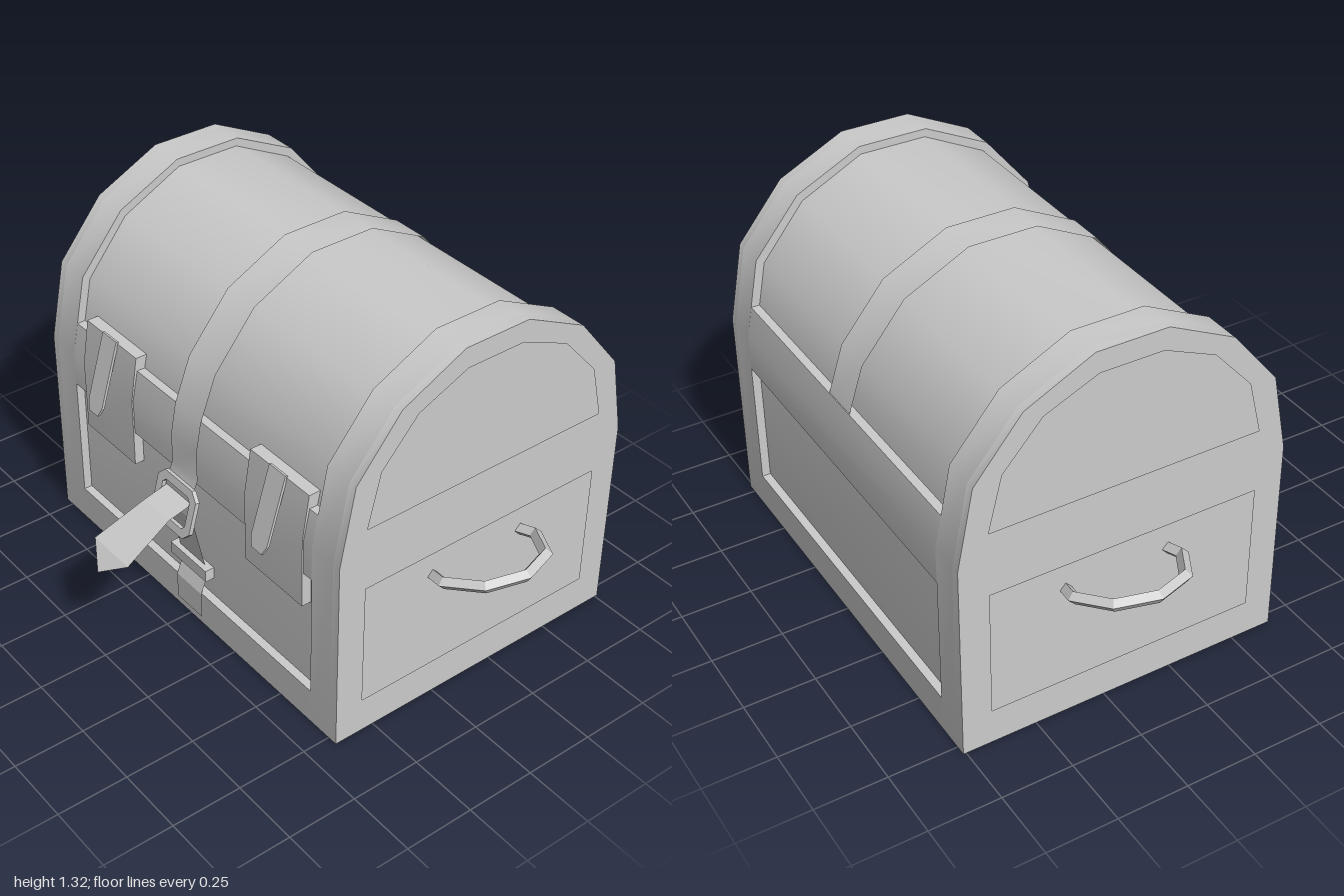
import * as THREE from 'three';
import { toCreasedNormals } from 'three/addons/utils/BufferGeometryUtils.js';

const grey = new THREE.MeshStandardMaterial({ color: 0xcccccc });
const flat = new THREE.MeshStandardMaterial({ color: 0xcccccc, flatShading: true });
const thin = new THREE.MeshStandardMaterial({ color: 0xcccccc, side: THREE.DoubleSide });
const thinFlat = new THREE.MeshStandardMaterial({ color: 0xcccccc, side: THREE.DoubleSide, flatShading: true });

const MID_Z = -0.18; // centre plane of the chest, front to back

// Profiles are [z, y]; the front half is mirrored to the back.
const mirrorProfile = (half) => [
  ...half,
  ...half.slice().reverse().map(([z, y]) => [2 * MID_Z - z, y]),
];
const toPoints = (profile) => profile.map(([z, y]) => new THREE.Vector2(-z, y));

export function createModel() {
  const chest = new THREE.Group();
  chest.name = 'chest';

  const add = (name, geometry, material = grey) => {
    const mesh = new THREE.Mesh(geometry, material);
    mesh.name = name;
    chest.add(mesh);
    return mesh;
  };

  // Extrudes a [z, y] profile along x from x0 to x1.
  const extrudeX = (name, profile, x0, x1, holes = []) => {
    const shape = new THREE.Shape(toPoints(profile));
    holes.forEach((h) => shape.holes.push(new THREE.Path(toPoints(h))));
    const geo = new THREE.ExtrudeGeometry(shape, { depth: x1 - x0, bevelEnabled: false });
    geo.rotateY(Math.PI / 2).translate(x0, 0, 0);
    return add(name, toCreasedNormals(geo, 0.6));
  };

  // Thin band along a [z, y, halfWidth] path.
  const ribbon = (name, path, material) => {
    const geo = new THREE.PlaneGeometry(1, 1, 1, path.length - 1);
    const pos = geo.attributes.position;
    path.forEach(([z, y, w = 0.07], i) => {
      pos.setXYZ(2 * i, -w, y, z);
      pos.setXYZ(2 * i + 1, w, y, z);
    });
    geo.computeVertexNormals();
    return add(name, geo, material);
  };

  const outer = mirrorProfile([[0.4, 0], [0.4, 0.72], [0.345, 1.0], [0.18, 1.2], [-0.055, 1.315]]);
  const inner = mirrorProfile([[0.37, 0.02], [0.37, 0.72], [0.317, 0.985], [0.163, 1.174], [-0.06, 1.286]]);
  const sidePanel = mirrorProfile([[0.297, 0.13], [0.297, 0.59]]);
  const lidPanel = mirrorProfile([[0.297, 0.82], [0.25, 1.01], [0.115, 1.16], [-0.07, 1.24]]);

  // Recessed core with the rails that frame it front and back
  extrudeX('recessedPanels', inner, -0.655, 0.655);
  extrudeX('bottomRail', mirrorProfile([[0.4, 0], [0.4, 0.13]]), -0.655, 0.655);
  extrudeX('middleRail', mirrorProfile([[0.4, 0.59], [0.4, 0.72], [0.378, 0.83]]), -0.655, 0.655);

  // End bands and the side frames with their recessed panels
  for (const s of [-1, 1]) {
    const span = (a, b) => (s > 0 ? [a, b] : [-b, -a]);
    extrudeX('endBand', outer, ...span(0.655, 0.756));
    extrudeX('sideFrame', outer, ...span(0.756, 0.786), [sidePanel, lidPanel]);
  }

  // Latch plates with a hanging flap each
  const plate = [[0.35, 0.46], [0.405, 0.46], [0.405, 0.72], [0.38, 0.88], [0.33, 0.88]];
  const flap = new THREE.Shape(
    [[-0.04, 0], [-0.04, -0.25], [-0.025, -0.285], [0.025, -0.285], [0.04, -0.25], [0.04, 0]]
      .map(([x, y]) => new THREE.Vector2(x, y)));
  for (const x of [-0.44, 0.47]) {
    extrudeX('latchPlate', plate, x - 0.145, x + 0.145);
    const mesh = add('latchFlap', new THREE.ExtrudeGeometry(flap, { depth: 0.01, bevelEnabled: false }));
    mesh.position.set(x - 0.004, 0.885, 0.375);
    mesh.rotation.x = -0.29;
  }

  // Side handles: faceted rings sunk into the sides
  for (const s of [-1, 1]) {
    const ring = new THREE.TorusGeometry(0.2, 0.022, 4, 6, (Math.PI * 4) / 3);
    ring.rotateZ((-Math.PI * 2) / 3).rotateX(Math.PI / 2).rotateZ(0.22);
    if (s < 0) ring.rotateY(Math.PI);
    const handle = add('sideHandle', ring, flat);
    handle.position.set(s * 0.783, 0.475, -0.19);
  }

  // Strap over the lid, from the back rail to the buckle
  ribbon('lidStrap', [
    [-0.735, 0.83], [-0.683, 0.99], [-0.528, 1.18], [-0.302, 1.293],
    [-0.058, 1.293], [0.168, 1.18], [0.323, 0.99], [0.384, 0.83],
    [0.404, 0.72], [0.404, 0.61], [0.425, 0.56],
  ], thin);

  // Lower strap, pulled out to the buckle
  ribbon('lowerStrap', [
    [0.43, 0.55], [0.43, 0.46], [0.385, 0.25], [0.376, 0.2], [0.404, 0.13], [0.404, 0.03],
  ], thinFlat);

  // Loose strap end sticking out of the buckle
  ribbon('strapEnd', [
    [0.42, 0.53], [0.52, 0.505], [0.7, 0.42, 0.095], [0.755, 0.365, 0.001],
  ], thinFlat);

  // Keeper loop on the lower strap
  const loop = add('keeperLoop', new THREE.BoxGeometry(0.2, 0.045, 0.04));
  loop.position.set(0, 0.228, 0.385);

  // Buckle: tilted frame with cut corners
  const octagon = (w, h, c) => [
    [-w, -h + c], [-w + c, -h], [w - c, -h], [w, -h + c],
    [w, h - c], [w - c, h], [-w + c, h], [-w, h - c],
  ].map(([x, y]) => new THREE.Vector2(x, y));
  const frame = new THREE.Shape(octagon(0.105, 0.09, 0.03));
  frame.holes.push(new THREE.Path(octagon(0.075, 0.06, 0.015)));
  const buckle = add('buckle', new THREE.ExtrudeGeometry(frame, { depth: 0.016, bevelEnabled: false }));
  buckle.position.set(0, 0.494, 0.438);
  buckle.rotation.x = -0.26;

  return chest;
}
